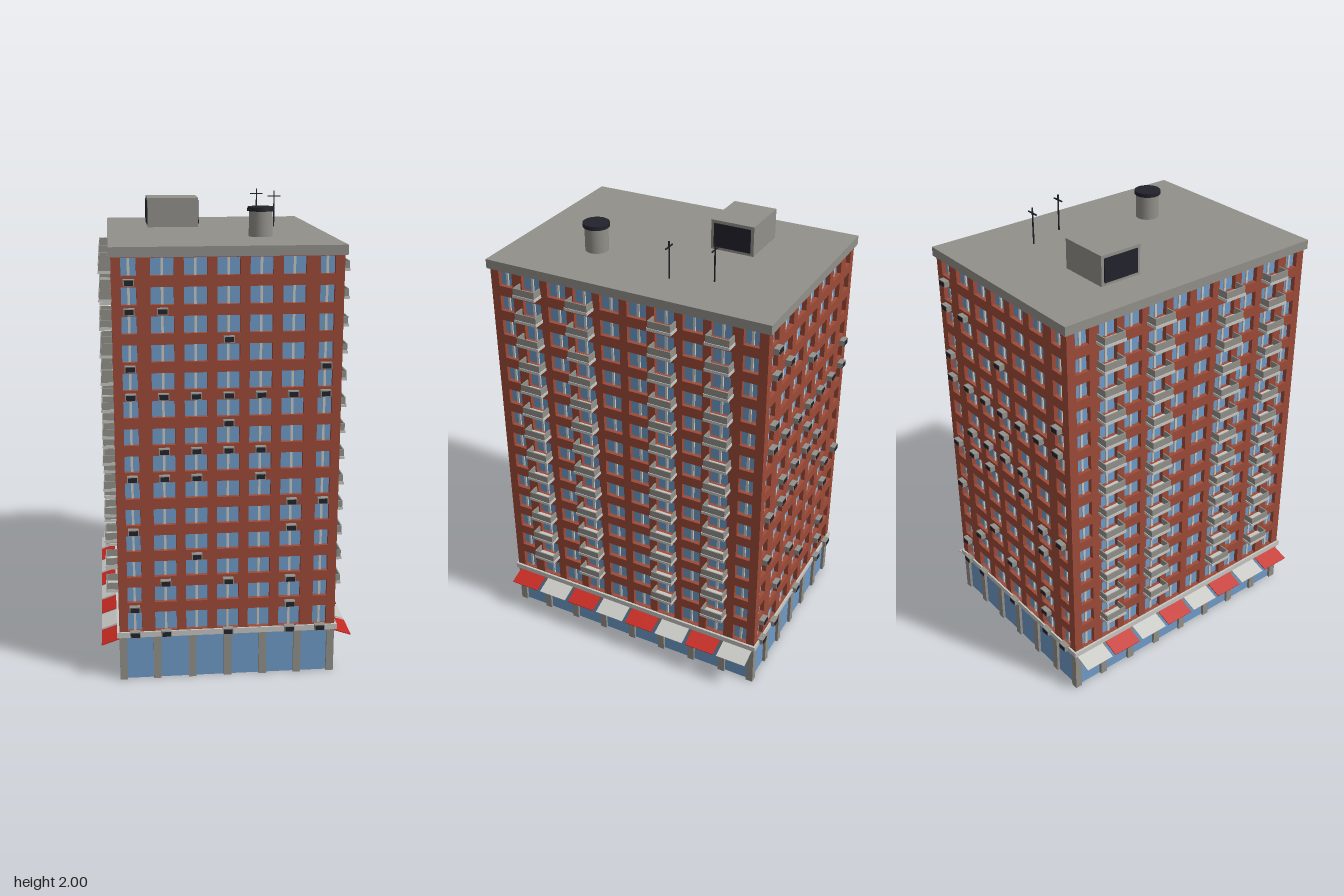
import * as THREE from 'three';
import { mergeGeometries } from 'three/addons/utils/BufferGeometryUtils.js';

const mat = (name, color) => {
  const m = new THREE.MeshStandardMaterial({ color });
  m.name = name;
  return m;
};

export function createModel() {
  const brick = mat('brick', 0x9c4a38);
  const glass = mat('glass', 0x6f9bc8);
  const concrete = mat('concrete', 0x92908a);
  const pale = mat('paleStone', 0xc6c6c2);
  const red = mat('redCanvas', 0xc42a22);
  const dark = mat('darkMetal', 0x22222c);

  const model = new THREE.Group();
  model.name = 'apartmentTower';

  // Box from min and max corners
  const box = (x0, x1, y0, y1, z0, z1) =>
    new THREE.BoxGeometry(x1 - x0, y1 - y0, z1 - z0)
      .translate((x0 + x1) / 2, (y0 + y1) / 2, (z0 + z1) / 2);
  const add = (name, material, geos, parent = model) => {
    const list = Array.isArray(geos) ? geos : [geos];
    const mesh = new THREE.Mesh(list.length > 1 ? mergeGeometries(list) : list[0], material);
    mesh.name = name;
    parent.add(mesh);
    return mesh;
  };

  const ROWS = 14, PITCH = 0.1145;
  const rowTop = (r) => 0.308 + r * PITCH;
  const rowBottom = (r) => (r === 0 ? 0.223 : rowTop(r) - 0.07);

  // Facade in local space: outer face at z = 0, windows cut through the brick
  const facade = (name, halfWidth, columns) => {
    const g = new THREE.Group();
    g.name = name;
    const shape = new THREE.Shape();
    shape.moveTo(-halfWidth, 0.215).lineTo(halfWidth, 0.215)
      .lineTo(halfWidth, 1.805).lineTo(-halfWidth, 1.805).closePath();
    const mullions = [];
    for (let r = 0; r < ROWS; r++) {
      const y0 = rowBottom(r), y1 = rowTop(r);
      for (const [c, w] of columns) {
        const hole = new THREE.Path();
        hole.moveTo(c - w / 2, y0).lineTo(c - w / 2, y1)
          .lineTo(c + w / 2, y1).lineTo(c + w / 2, y0).closePath();
        shape.holes.push(hole);
        mullions.push(box(c - 0.005, c + 0.005, y0, y1, -0.021, -0.013));
      }
    }
    const wall = new THREE.ExtrudeGeometry(shape, { depth: 0.02, bevelEnabled: false });
    add('brickWall', brick, wall.translate(0, 0, -0.02), g);
    add('windowMullions', pale, mullions, g);
    model.add(g);
    return g;
  };

  // Glass core behind the walls and glazed ground floor
  add('windowGlass', glass, box(-0.44, 0.44, 0.2, 1.82, -0.61, 0.61));
  add('shopGlazing', glass, box(-0.447, 0.447, 0, 0.21, -0.617, 0.617));

  // Ground floor pillars
  const pillars = [];
  for (const s of [-1, 1]) {
    for (let i = 1; i < 6; i++) {
      const x = -0.45 + i * 0.15;
      pillars.push(box(x - 0.016, x + 0.016, 0, 0.2, s * 0.615 - 0.015, s * 0.615 + 0.015));
    }
    for (let i = 0; i < 9; i++) {
      const z = Math.max(-0.614, Math.min(0.614, (i - 4) * 0.157));
      pillars.push(box(s * 0.444 - 0.016, s * 0.444 + 0.016, 0, 0.2, z - 0.016, z + 0.016));
    }
  }
  add('pillars', concrete, pillars);
  add('ledge', pale, box(-0.47, 0.47, 0.197, 0.221, -0.638, 0.638));
  add('roofSlab', concrete, box(-0.47, 0.47, 1.8, 1.84, -0.642, 0.642));

  // Air conditioner columns for each row, bottom to top
  const units = ['01356', '05', '135', '2', '05', '56', '0124', '1234', '3',
    '0123456', '06', '3', '01', '0'];
  const endColumns = [-3, -2, -1, 0, 1, 2, 3].map((i) => [i * 0.131, Math.abs(i) === 3 ? 0.06 : 0.092]);
  for (const s of [1, -1]) {
    const g = facade(s > 0 ? 'frontFacade' : 'backFacade', 0.46, endColumns);
    const cases = [], grilles = [];
    units.forEach((cols, r) => {
      for (const ch of cols) {
        const x = endColumns[Number(ch)][0], y = rowTop(r) - 0.094;
        cases.push(box(x - 0.022, x + 0.022, y - 0.013, y + 0.013, -0.002, 0.024));
        grilles.push(box(x - 0.018, x + 0.018, y - 0.01, y + 0.01, 0.022, 0.026));
      }
    });
    add('airConditioners', concrete, cases, g);
    add('airConditionerGrilles', dark, grilles, g);
    g.position.z = s * 0.63;
    if (s < 0) g.rotation.y = Math.PI;
  }

  // Long sides with balconies and awnings
  const sideColumns = [];
  for (let i = 0; i < 10; i++) {
    sideColumns.push([(i - 4.5) * 0.124, i === 0 || i === 9 ? 0.066 : 0.088]);
  }
  for (const s of [1, -1]) {
    const g = facade(s > 0 ? 'leftFacade' : 'rightFacade', 0.61, sideColumns);
    const floors = [], panels = [];
    for (let r = 1; r < ROWS; r++) {
      const y = rowTop(r) - 0.08;
      for (const c of [-0.438, -0.188, 0.188, 0.438]) {
        floors.push(box(c - 0.054, c + 0.054, y, y + 0.012, -0.002, 0.053));
        panels.push(
          box(c - 0.051, c + 0.051, y + 0.012, y + 0.042, 0.045, 0.05),
          box(c - 0.051, c - 0.046, y + 0.012, y + 0.042, 0, 0.045),
          box(c + 0.046, c + 0.051, y + 0.012, y + 0.042, 0, 0.045));
      }
    }
    add('balconyFloors', pale, floors, g);
    add('balconyRailings', concrete, panels, g);
    g.position.x = s * 0.46;
    g.rotation.y = s * Math.PI / 2;

    // Sloping awnings, alternating pale and red from back to front
    const cloth = [[], []];
    for (let i = 0; i < 8; i++) {
      const awning = new THREE.BoxGeometry(0.083, 0.004, 0.14);
      awning.rotateZ(-s * 0.33).translate(s * 0.496, 0.173, (i - 3.5) * 0.157);
      cloth[i % 2].push(awning);
    }
    add('paleAwnings', pale, cloth[0]);
    add('redAwnings', red, cloth[1]);
  }

  // Rooftop plant room with dark louvre panels
  add('plantRoom', concrete, box(-0.287, -0.058, 1.838, 1.97, -0.33, -0.135));
  add('plantRoomLouvres', dark, [-0.287, -0.058].map((x) =>
    box(x - 0.004, x + 0.004, 1.853, 1.957, -0.316, -0.149)));

  // Rooftop chimney
  add('chimney', concrete, new THREE.CylinderGeometry(0.05, 0.05, 0.11, 24).translate(0.17, 1.893, 0.285));
  add('chimneyCap', dark, new THREE.CylinderGeometry(0.057, 0.057, 0.017, 24).translate(0.17, 1.953, 0.285));

  // Antennas
  const antennas = [];
  for (const [x, z] of [[0.228, -0.29], [0.285, -0.117]]) {
    antennas.push(
      box(x - 0.0025, x + 0.0025, 1.838, 2, z - 0.0025, z + 0.0025),
      box(x - 0.029, x + 0.029, 1.974, 1.979, z - 0.0025, z + 0.0025));
  }
  add('antennas', dark, antennas);

  return model;
}
